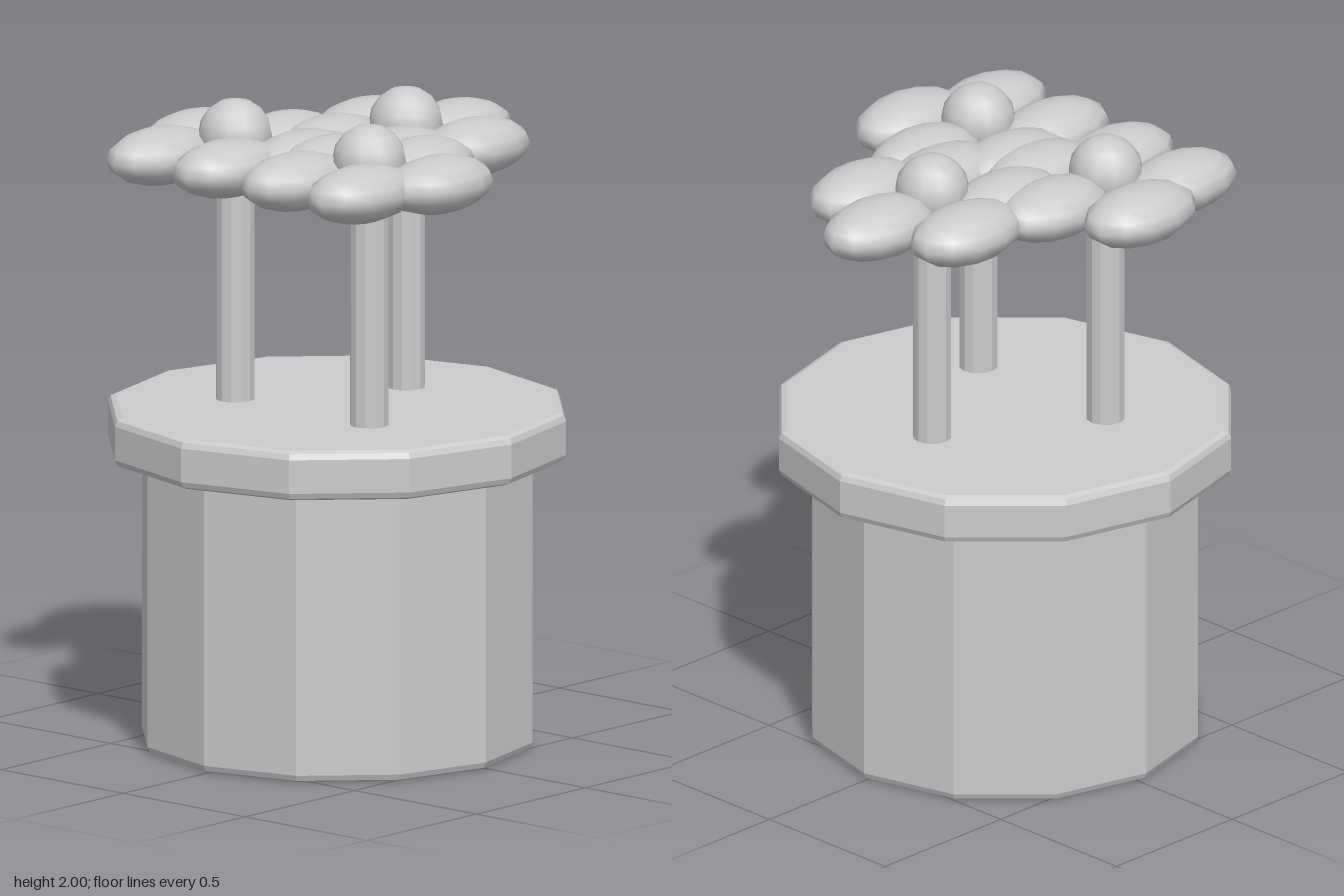
import * as THREE from 'three';

const flat = new THREE.MeshStandardMaterial({ color: 0xcccccc, flatShading: true });
const smooth = new THREE.MeshStandardMaterial({ color: 0xcccccc });

function addMesh(parent, name, geometry, material, x = 0, y = 0, z = 0) {
  const mesh = new THREE.Mesh(geometry, material);
  mesh.name = name;
  mesh.position.set(x, y, z);
  parent.add(mesh);
  return mesh;
}

// Closed twelve-sided drum with bevelled top and bottom edges
function drum(radius, y0, y1, bevel) {
  const profile = [
    [0, y0], [radius - bevel, y0], [radius - bevel * 0.3, y0 + bevel * 0.3], [radius, y0 + bevel],
    [radius, y1 - bevel], [radius - bevel * 0.3, y1 - bevel * 0.3], [radius - bevel, y1], [0, y1],
  ].map(([r, y]) => new THREE.Vector2(r, y));
  return new THREE.LatheGeometry(profile, 12);
}

function createFlower(x, z) {
  const flower = new THREE.Group();
  flower.name = 'flower';
  flower.position.set(x, 0, z);

  const stemBottom = 1.04, stemTop = 1.85;
  addMesh(flower, 'stem', new THREE.CylinderGeometry(0.06, 0.06, stemTop - stemBottom, 12), flat,
    0, (stemBottom + stemTop) / 2, 0);
  addMesh(flower, 'flowerCentre', new THREE.SphereGeometry(0.116, 12, 8), smooth, 0, 1.884, 0);

  // Five petals in a ring, all stretched along x
  for (let i = 0; i < 5; i++) {
    const a = (i / 5) * Math.PI * 2;
    const geometry = new THREE.SphereGeometry(1, 12, 8).rotateY(-a).scale(0.208, 0.088, 0.133);
    addMesh(flower, 'petal', geometry, smooth, Math.cos(a) * 0.23, 1.832, Math.sin(a) * 0.23);
  }
  return flower;
}

export function createModel() {
  const model = new THREE.Group();
  model.name = 'flowerPot';

  // Pot
  const pot = new THREE.Group();
  pot.name = 'pot';
  pot.position.x = -0.02;
  model.add(pot);
  addMesh(pot, 'potBody', drum(0.61, 0, 0.93, 0.025), flat);
  addMesh(pot, 'potRim', drum(0.715, 0.905, 1.06, 0.025), flat);

  // Flowers
  for (const [x, z] of [[-0.18, -0.275], [-0.18, 0.275], [0.295, 0]]) model.add(createFlower(x, z));
  return model;
}
